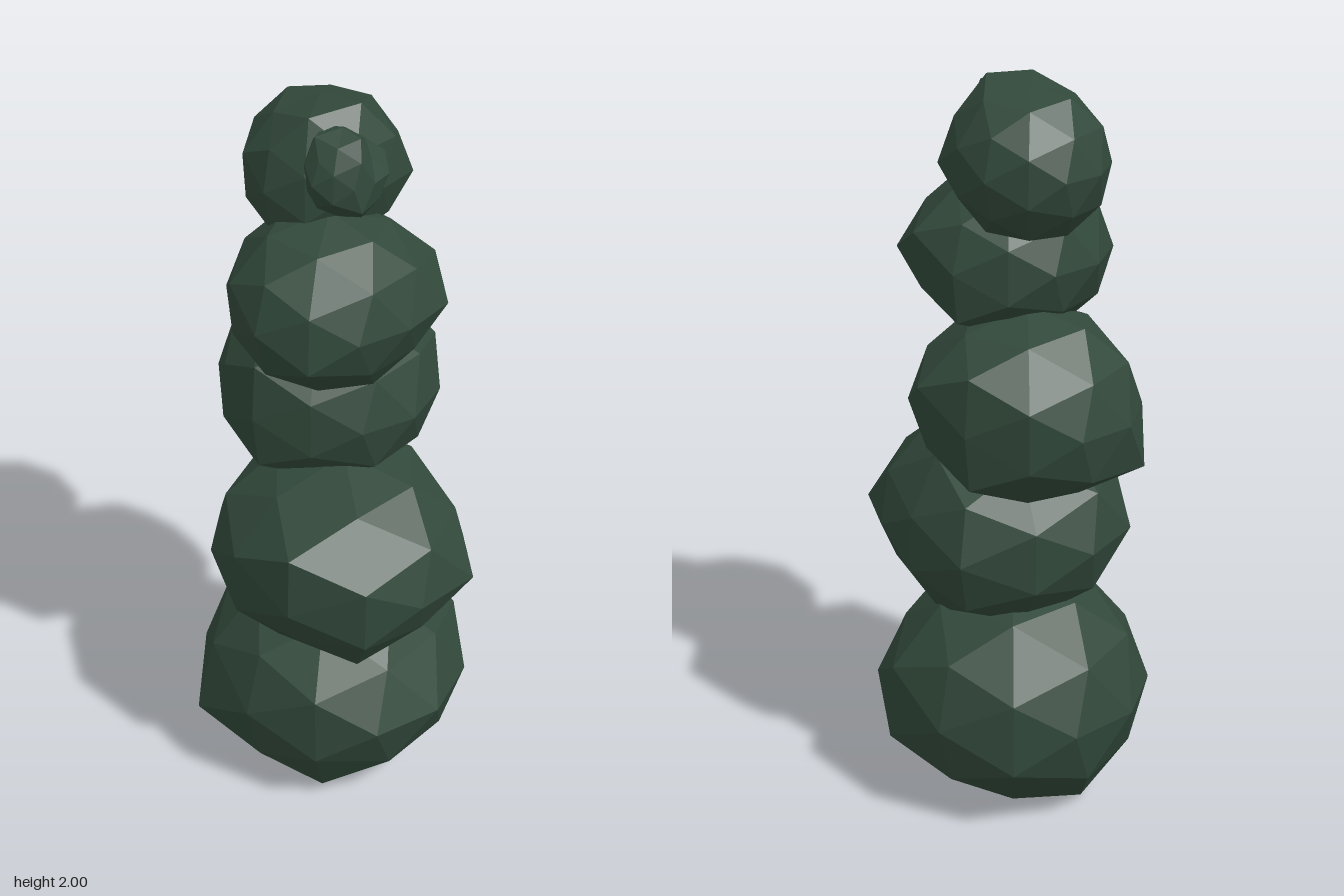
import * as THREE from 'three';

// Repeatable value in -1..1 for a corner direction, so shared corners move together
function jitter(v, seed) {
  const s = Math.sin(v.x * 12.99 + v.y * 78.23 + v.z * 37.72 + seed * 4.1) * 437.58;
  return 2 * (s - Math.floor(s)) - 1;
}

// Faceted lump: extents per axis, light radial roughness, and selected corners pulled in or out
function lump(name, material, { center, radii, rough, seed, yaw = 0, pulls = [] }) {
  const geometry = new THREE.IcosahedronGeometry(1, 1);
  const pos = geometry.attributes.position;
  const v = new THREE.Vector3();
  const size = new THREE.Vector3(...radii);
  const targets = pulls.map(([x, y, z, f]) => [new THREE.Vector3(x, y, z).normalize(), f]);
  for (let i = 0; i < pos.count; i++) {
    v.fromBufferAttribute(pos, i).normalize();
    v.set(...v.toArray().map((n) => Math.round(n * 1000) / 1000));
    const onAxis = Math.max(Math.abs(v.x), Math.abs(v.y), Math.abs(v.z)) > 0.99;
    let f = onAxis ? 1 : 1 + rough * jitter(v, seed);
    for (const [dir, scale] of targets) if (v.dot(dir) > 0.96) f = scale;
    v.multiplyScalar(f).multiply(size);
    pos.setXYZ(i, v.x, v.y, v.z);
  }
  geometry.computeVertexNormals();
  const mesh = new THREE.Mesh(geometry, material);
  mesh.name = name;
  mesh.position.set(...center);
  mesh.rotation.y = yaw;
  return mesh;
}

export function createModel() {
  const group = new THREE.Group();
  group.name = 'stackedLumps';
  const green = new THREE.MeshStandardMaterial({ color: 0x32493b, flatShading: true });
  green.name = 'darkGreen';

  // Stack from the ground up, each lump offset from the one below
  const lumps = {
    baseLump: {
      center: [-0.03, 0.33, -0.015], radii: [0.375, 0.33, 0.355], rough: 0.02, seed: 1,
      pulls: [[-0.53, -0.85, 0, 1.13], [0.53, -0.85, 0, 1.04], [0, -0.53, 0.85, 1.02],
        [0, -0.53, -0.85, 1.0], [-0.5, -0.31, 0.81, 1.15], [0.5, -0.31, -0.81, 1.05],
        [0.31, -0.81, 0.5, 1.1], [0.81, -0.5, 0.31, 0.98], [0.81, -0.5, -0.31, 0.98],
        [0.81, 0.5, 0.31, 0.92], [0.81, 0.5, -0.31, 0.92]],
    },
    lowerLump: {
      center: [0.05, 0.785, 0.035], radii: [0.365, 0.28, 0.345], rough: 0.02, seed: 2, yaw: 0.3,
      pulls: [[0, 0.53, 0.85, 1.14], [0.81, 0.5, 0.31, 0.97], [0.81, 0.5, -0.31, 0.92],
        [0.81, -0.5, 0.31, 0.9], [0.81, -0.5, -0.31, 0.87], [0.85, 0, 0.53, 0.95],
        [0.85, 0, -0.53, 0.88], [0.5, 0.31, -0.81, 0.88], [0.5, -0.31, -0.81, 0.9],
        [0.5, 0.31, 0.81, 1.04], [0.5, -0.31, 0.81, 1.02], [0.31, -0.81, 0.5, 1.06],
        [0, 0.53, -0.85, 1.0], [-0.81, -0.5, 0.31, 1.02], [0, -0.53, 0.85, 0.92]],
    },
    middleLump: {
      center: [-0.11, 1.185, -0.075], radii: [0.3, 0.255, 0.28], rough: 0.02, seed: 3,
      pulls: [[0, 0.53, 0.85, 1.12], [0, -0.53, 0.85, 1.1], [0, 0.53, -0.85, 1.1],
        [0, -0.53, -0.85, 1.1], [-0.81, -0.5, 0.31, 1.18], [-0.53, 0.85, 0, 1.05],
        [-0.5, 0.31, -0.81, 1.06], [0.5, 0.31, -0.81, 1.08]],
    },
    upperLump: {
      center: [0.015, 1.535, 0.05], radii: [0.255, 0.225, 0.265], rough: 0.02, seed: 4,
      pulls: [[0, -0.53, -0.85, 1.1], [0, -0.53, 0.85, 1.03], [0.53, -0.85, 0, 1.05],
        [0.85, 0, -0.53, 1.12], [0.5, 0.31, -0.81, 1.08], [0.5, -0.31, 0.81, 1.06]],
    },
    topLump: {
      center: [-0.11, 1.8, -0.06], radii: [0.195, 0.19, 0.205], rough: 0.02, seed: 5,
      pulls: [[-0.53, 0.85, 0, 1.05], [0, -0.53, 0.85, 1.05], [0.31, 0.81, 0.5, 1.22],
        [0.53, 0.85, 0, 1.23], [0.31, 0.81, -0.5, 1.06], [0, 0.53, 0.85, 1.04],
        [0.85, 0, -0.53, 1.13], [0.81, 0.5, -0.31, 1.1], [0.81, 0.5, 0.31, 1.1]],
    },
    // Small craggy knob half sunk in the side of the top lump
    knob: {
      center: [0.03, 1.86, 0.02], radii: [0.1, 0.11, 0.11], rough: 0.1, seed: 6,
      pulls: [[0.81, 0.5, -0.31, 0.8], [0.31, 0.81, -0.5, 0.85], [0.81, -0.5, 0.31, 1.18],
        [0.81, 0.5, 0.31, 1.1], [0.53, -0.85, 0, 1.1]],
    },
  };
  for (const [name, spec] of Object.entries(lumps)) group.add(lump(name, green, spec));
  return group;
}
